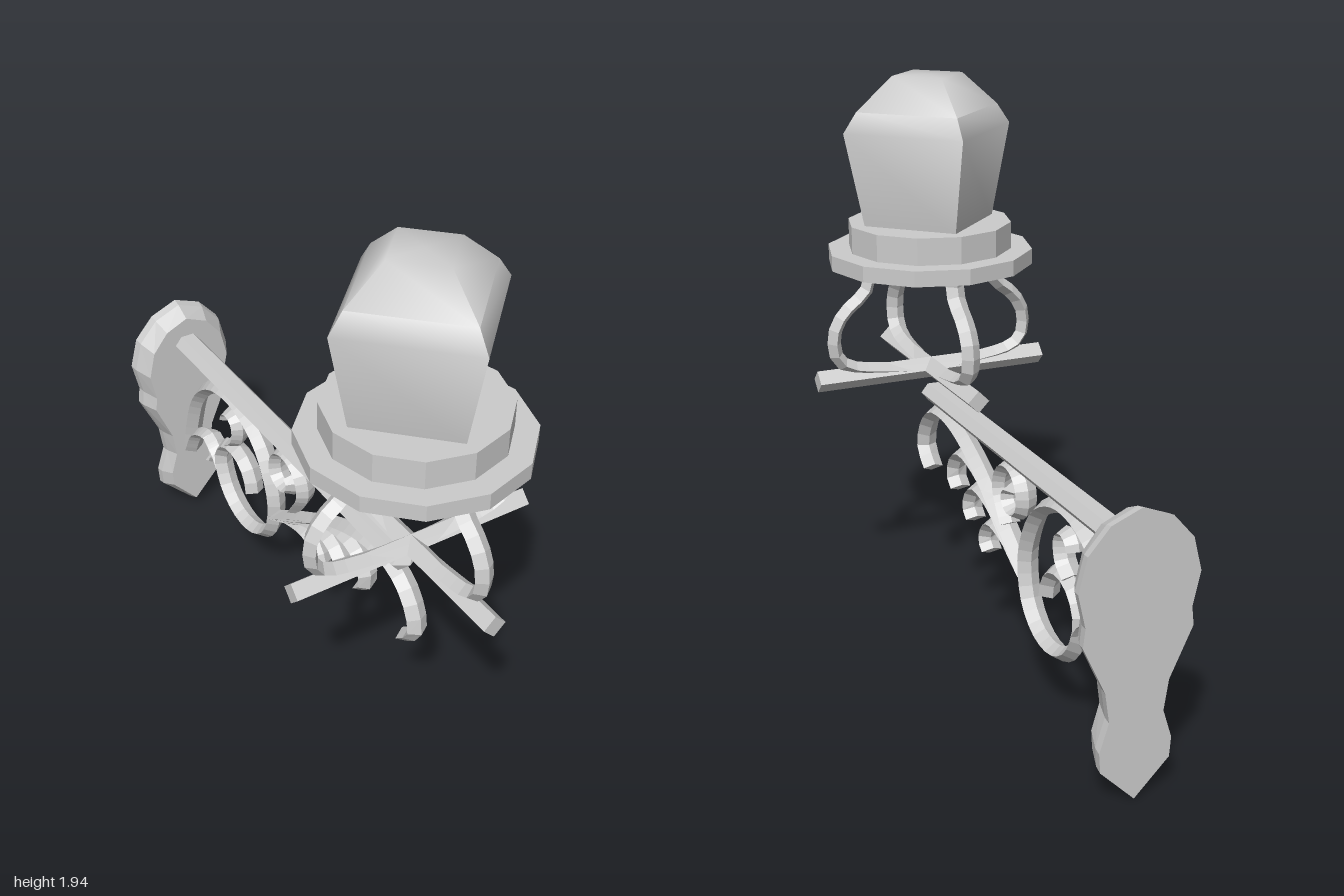
import * as THREE from 'three';
import { toCreasedNormals } from 'three/addons/utils/BufferGeometryUtils.js';

const flat = new THREE.MeshStandardMaterial({ color: 0xcccccc, flatShading: true });
const smooth = new THREE.MeshStandardMaterial({ color: 0xcccccc });

function add(parent, name, geometry, material = flat) {
  const mesh = new THREE.Mesh(geometry, material);
  mesh.name = name;
  parent.add(mesh);
  return mesh;
}

// Skin a list of closed rings (counter-clockwise about the direction of travel), capped at both ends
function loft(rings) {
  const n = rings[0].length, last = rings.length - 1, index = [];
  const points = rings.flat();
  const centre = ring => ring.reduce((s, p) => s.add(p), new THREE.Vector3()).divideScalar(n);
  const c0 = points.push(centre(rings[0])) - 1;
  const c1 = points.push(centre(rings[last])) - 1;
  for (let j = 0; j < n; j++) {
    const k = (j + 1) % n;
    for (let i = 0; i < last; i++) {
      const a = i * n + j, b = i * n + k;
      index.push(a, b, b + n, a, b + n, a + n);
    }
    index.push(c0, k, j, c1, last * n + j, last * n + k);
  }
  const geometry = new THREE.BufferGeometry().setFromPoints(points);
  geometry.setIndex(index);
  geometry.computeVertexNormals();
  return geometry;
}

// Diamond-section bar swept along a planar curve; side is the normal of the plane
function sweep(points, side, thick, wide, steps) {
  const curve = new THREE.CatmullRomCurve3(points, false, 'centripetal');
  const rings = [];
  for (let i = 0; i <= steps; i++) {
    const p = curve.getPointAt(i / steps);
    const n = side.clone().cross(curve.getTangentAt(i / steps)).normalize();
    rings.push([[1, 0], [0, 1], [-1, 0], [0, -1]].map(([u, v]) =>
      p.clone().addScaledVector(n, u * thick).addScaledVector(side, v * wide)));
  }
  return loft(rings);
}

function makeLantern() {
  const lantern = new THREE.Group();
  lantern.name = 'lantern';
  lantern.position.z = 0.57;

  // Four-sided shade with a softened roof
  const profile = [[0, 1.42], [0.24, 1.42], [0.31, 1.755], [0.262, 1.825], [0.13, 1.94], [0, 1.94]];
  const shade = new THREE.LatheGeometry(profile.map(p => new THREE.Vector2(...p)), 4);
  add(lantern, 'shade', toCreasedNormals(shade, 1.2), smooth);

  // Stepped twelve-sided base
  add(lantern, 'upperRing', new THREE.CylinderGeometry(0.29, 0.29, 0.1, 12)).position.y = 1.38;
  add(lantern, 'lowerRing', new THREE.CylinderGeometry(0.365, 0.365, 0.055, 12)).position.y = 1.308;

  // Four curved legs
  const path = [[0.235, 1.29], [0.23, 1.23], [0.25, 1.19], [0.33, 1.12], [0.365, 1.05],
    [0.355, 0.96], [0.31, 0.925], [0.18, 0.9], [0.02, 0.885]];
  const legGeometry = sweep(path.map(([x, y]) => new THREE.Vector3(x, y, 0)),
    new THREE.Vector3(0, 0, 1), 0.025, 0.034, 16);
  for (let i = 0; i < 4; i++) add(lantern, 'leg', legGeometry).rotation.y = i * Math.PI / 2;

  // Crossed bars under the legs
  for (const axis of ['z', 'x']) {
    const bar = add(lantern, 'crossBar', new THREE.CylinderGeometry(0.039, 0.039, 0.865, 4));
    bar.rotation[axis] = Math.PI / 2;
    bar.position.y = 0.885;
  }
  return lantern;
}

// Points [z, y] on an arc or spiral; angles in degrees from +z towards +y
function arc(z, y, r0, r1, a0, a1) {
  const n = Math.ceil(Math.abs(a1 - a0) / 35);
  return Array.from({ length: n + 1 }, (_, i) => {
    const r = THREE.MathUtils.lerp(r0, r1, i / n);
    const a = THREE.MathUtils.degToRad(THREE.MathUtils.lerp(a0, a1, i / n));
    return [z + r * Math.cos(a), y + r * Math.sin(a)];
  });
}

// Hooked leaf whose stem runs back through the given points to the shared root
const leaf = (z, y, r, ...stem) =>
  [...arc(z, y, r * 0.75, r, -28, 0), ...arc(z, y, r, r, 33, 95), ...stem, [-0.26, 0.41]];

function makeScrollwork() {
  const scrollwork = new THREE.Group();
  scrollwork.name = 'scrollwork';
  const side = new THREE.Vector3(1, 0, 0);
  const scroll = (name, thick, steps, path) => add(scrollwork, name,
    sweep(path.map(([z, y]) => new THREE.Vector3(0, y, z)), side, thick, 0.038, steps));

  // Leaves fanning forward
  scroll('mainLeaf', 0.025, 24, leaf(0.44, 0.56, 0.187, [0.3, 0.73], [0.11, 0.65], [-0.07, 0.53]));
  scroll('secondLeaf', 0.021, 18, leaf(0.23, 0.55, 0.113, [0.09, 0.63], [-0.07, 0.54]));
  scroll('thirdLeaf', 0.021, 16, leaf(0.1, 0.48, 0.1, [-0.02, 0.55], [-0.15, 0.47]));
  scroll('fourthLeaf', 0.021, 14, leaf(-0.03, 0.41, 0.09, [-0.18, 0.46]));

  // Spirals
  scroll('smallSpiral', 0.02, 26, [[-0.12, 0.54],
    ...arc(-0.16, 0.665, 0.105, 0.085, -10, 180), ...arc(-0.16, 0.665, 0.083, 0.02, 205, 390)]);
  scroll('largeScroll', 0.026, 48, [[-0.92, 0.3], [-0.89, 0.43],
    ...arc(-0.55, 0.455, 0.31, 0.29, 150, 15), ...arc(-0.46, 0.44, 0.2, 0.2, 0, -170),
    ...arc(-0.53, 0.415, 0.13, 0.11, 165, 0)]);

  // Small sprigs
  scroll('innerSprig', 0.02, 12, [...arc(-0.56, 0.64, 0.045, 0.045, 180, 0), [-0.53, 0.58], [-0.58, 0.54]]);
  scroll('wallSprig', 0.02, 14, [[-0.735, 0.37], ...arc(-0.75, 0.41, 0.052, 0.052, -30, 100),
    [-0.85, 0.41], [-0.91, 0.3]]);
  scroll('linkSprig', 0.018, 5, [[-0.65, 0.38], [-0.69, 0.43], [-0.75, 0.465]]);
  return scrollwork;
}

function makeBracket() {
  const bracket = new THREE.Group();
  bracket.name = 'bracket';

  // Six-sided arm with blunt pointed tip
  const profile = [[0, -0.93], [0.05, -0.93], [0.05, 0.545], [0, 0.575]];
  const arm = new THREE.LatheGeometry(profile.map(p => new THREE.Vector2(...p)), 6);
  arm.rotateY(Math.PI / 6).rotateX(Math.PI / 2).scale(1, 0.72, 1).translate(0, 0.8, 0);
  add(bracket, 'arm', arm);

  // Wavy mirrored wall plate, tapering to the front
  const half = [[0.115, 0.12], [0.12, 0.185], [0.09, 0.28], [0.105, 0.38], [0.18, 0.54],
    [0.173, 0.6], [0.198, 0.71], [0.17, 0.82], [0.1, 0.9]];
  const mirrored = half.map(([x, y]) => [-x, y]).reverse();
  const outline = [[0, 0.005], ...half, [0, 0.94], ...mirrored];
  const ring = (sx, sy, z) => outline.map(([x, y]) => new THREE.Vector3(x * sx, 0.5 + (y - 0.5) * sy, z));
  add(bracket, 'wallPlate', loft([ring(1, 1, -1), ring(0.98, 0.985, -0.97), ring(0.83, 0.92, -0.91)]));
  return bracket;
}

export function createModel() {
  const model = new THREE.Group();
  model.name = 'wallLantern';
  model.add(makeLantern(), makeBracket(), makeScrollwork());
  return model;
}
